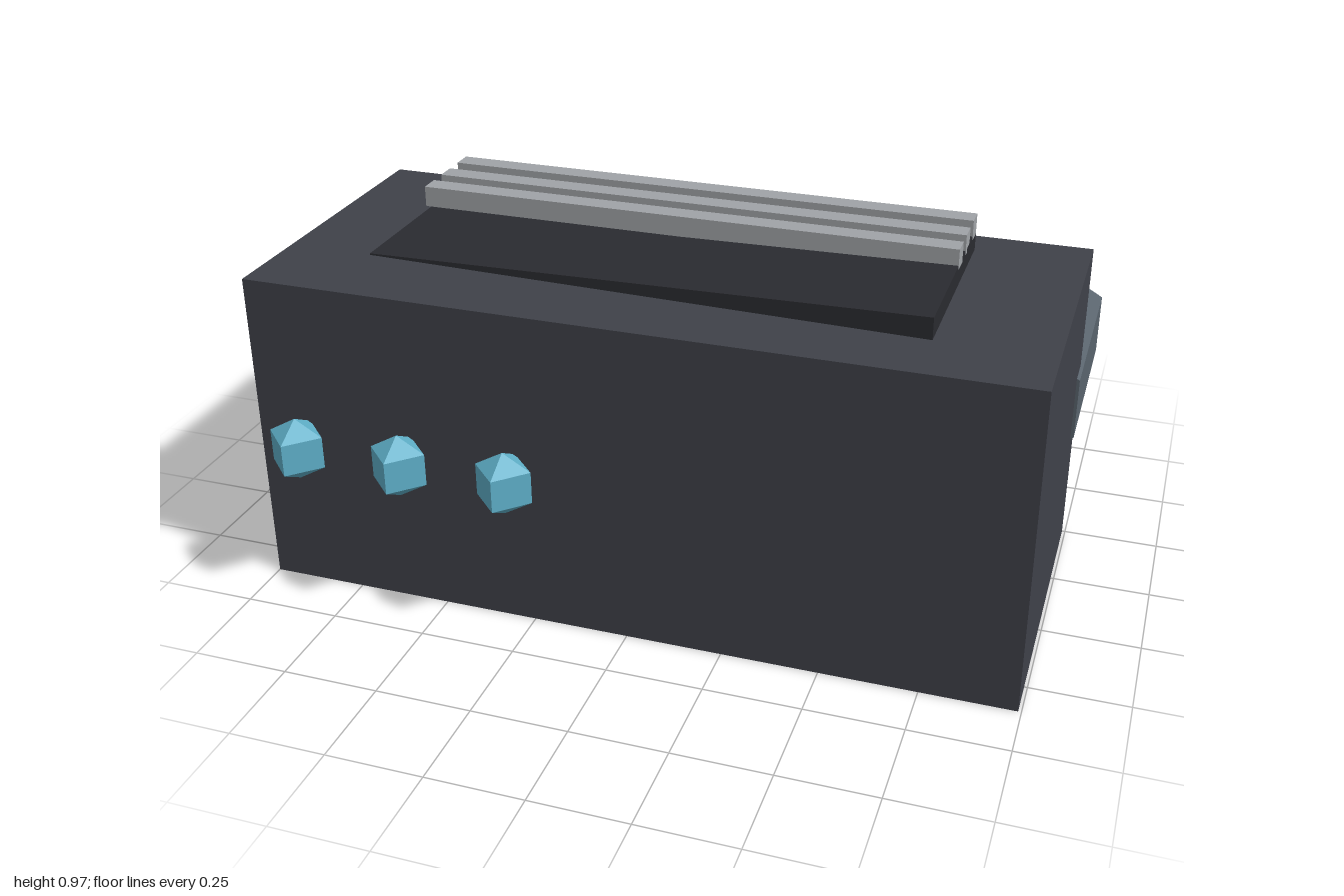
import * as THREE from 'three';

export function createModel() {
  const model = new THREE.Group();

  const paint = (color) => new THREE.MeshStandardMaterial({ color, flatShading: true });
  const bodyPaint = paint(0x3f4149);
  const platePaint = paint(0x2a2b30);
  const barPaint = paint(0xa0a3a7);
  const pipePaint = paint(0x59636d);
  const knobPaint = paint(0x5fb0c9);

  function add(name, geometry, material, x, y, z) {
    const mesh = new THREE.Mesh(geometry, material);
    mesh.name = name;
    mesh.position.set(x, y, z);
    model.add(mesh);
    return mesh;
  }

  // Main housing
  add('body', new THREE.BoxGeometry(1.992, 0.855, 0.85), bodyPaint, -0.004, 0.4275, 0.175);

  // Cooking plate, tapering to a thin edge on the -x side
  const plateProfile = new THREE.Shape([
    new THREE.Vector2(-0.715, 0.901),
    new THREE.Vector2(0.705, 0.873),
    new THREE.Vector2(0.705, 0.929),
    new THREE.Vector2(-0.715, 0.905),
  ]);
  const plate = new THREE.ExtrudeGeometry(plateProfile, { depth: 0.57, bevelEnabled: false });
  add('topPlate', plate, platePaint, 0, 0, -0.11);

  // Three parallel bars over the rear half of the plate
  for (const z of [-0.083, 0.019, 0.117]) {
    add('bar', new THREE.BoxGeometry(1.42, 0.054, 0.054), barPaint, -0.005, 0.944, z);
  }

  // Hexagonal pipe out of the back
  const pipe = new THREE.CylinderGeometry(0.171, 0.171, 0.57, 6);
  pipe.rotateX(Math.PI / 2);
  add('exhaustPipe', pipe, pipePaint, 0.852, 0.43, -0.45);

  // Faceted control knobs on the front
  for (const x of [-0.86, -0.575, -0.29]) {
    add('knob', new THREE.SphereGeometry(0.085, 4, 3), knobPaint, x, 0.43, 0.66);
  }

  return model;
}
